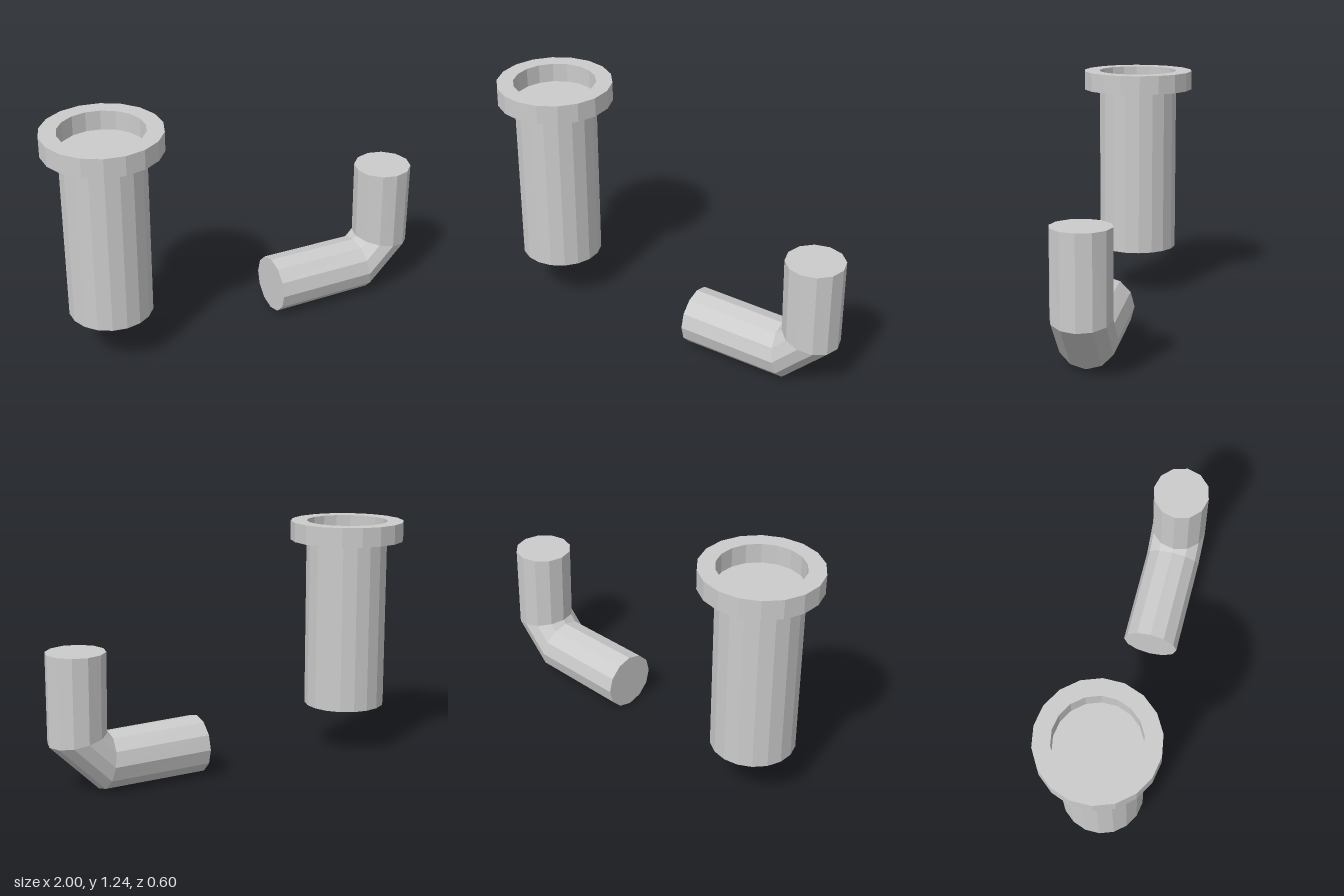
import * as THREE from 'three';

const material = new THREE.MeshStandardMaterial({ color: 0xcccccc, flatShading: true });

function addPart(group, name, geometry, x, y, z) {
  const mesh = new THREE.Mesh(geometry, material);
  mesh.name = name;
  mesh.position.set(x, y, z);
  group.add(mesh);
}

// Capped tube swept through rings, each given by its outer and inner point in the xy plane.
function sweptTube(rings, radius, sides) {
  const positions = [];
  const index = [];
  const centres = rings.map(([ox, oy, ix, iy]) => [(ox + ix) / 2, (oy + iy) / 2]);
  rings.forEach(([ox, oy], i) => {
    const [cx, cy] = centres[i];
    for (let j = 0; j < sides; j++) {
      const a = (j / sides) * Math.PI * 2;
      positions.push(cx + (ox - cx) * Math.cos(a), cy + (oy - cy) * Math.cos(a), radius * Math.sin(a));
    }
  });
  const last = (rings.length - 1) * sides;
  const startCentre = last + sides;
  positions.push(...centres[0], 0, ...centres[rings.length - 1], 0);
  for (let j = 0; j < sides; j++) {
    const k = (j + 1) % sides;
    for (let i = 0; i < last; i += sides) {
      index.push(i + j, i + sides + k, i + k, i + j, i + sides + j, i + sides + k);
    }
    index.push(startCentre, j, k, startCentre + 1, last + k, last + j);
  }
  const geometry = new THREE.BufferGeometry();
  geometry.setAttribute('position', new THREE.Float32BufferAttribute(positions, 3));
  geometry.setIndex(index);
  geometry.computeVertexNormals();
  return geometry;
}

export function createModel() {
  const group = new THREE.Group();
  group.name = 'pipes';

  // Straight upright pipe, closed at the height of the rim's underside
  const pipeX = -0.704, bodyRadius = 0.213, rimRadius = 0.298;
  const bottom = 0.25, rimBottom = 1.14, rimTop = 1.24;
  addPart(group, 'pipeBody',
    new THREE.CylinderGeometry(bodyRadius, bodyRadius, rimBottom - bottom, 18),
    pipeX, (bottom + rimBottom) / 2, 0);

  // Ring-shaped rim with an open middle
  const rimProfile = [
    [bodyRadius, rimBottom], [rimRadius, rimBottom], [rimRadius, rimTop],
    [bodyRadius, rimTop], [bodyRadius, rimBottom],
  ].map(([x, y]) => new THREE.Vector2(x, y));
  addPart(group, 'pipeRim', new THREE.LatheGeometry(rimProfile, 18), pipeX, 0, 0);

  // Elbow pipe: horizontal run, chamfered bend, vertical run
  const elbowRings = [
    [0.19, 0, 0.19, 0.298],
    [0.745, 0, 0.692, 0.29],
    [1, 0.252, 0.708, 0.308],
    [1, 0.71, 0.702, 0.71],
  ];
  addPart(group, 'elbowPipe', sweptTube(elbowRings, 0.148, 12), 0, 0, 0.034);

  return group;
}
